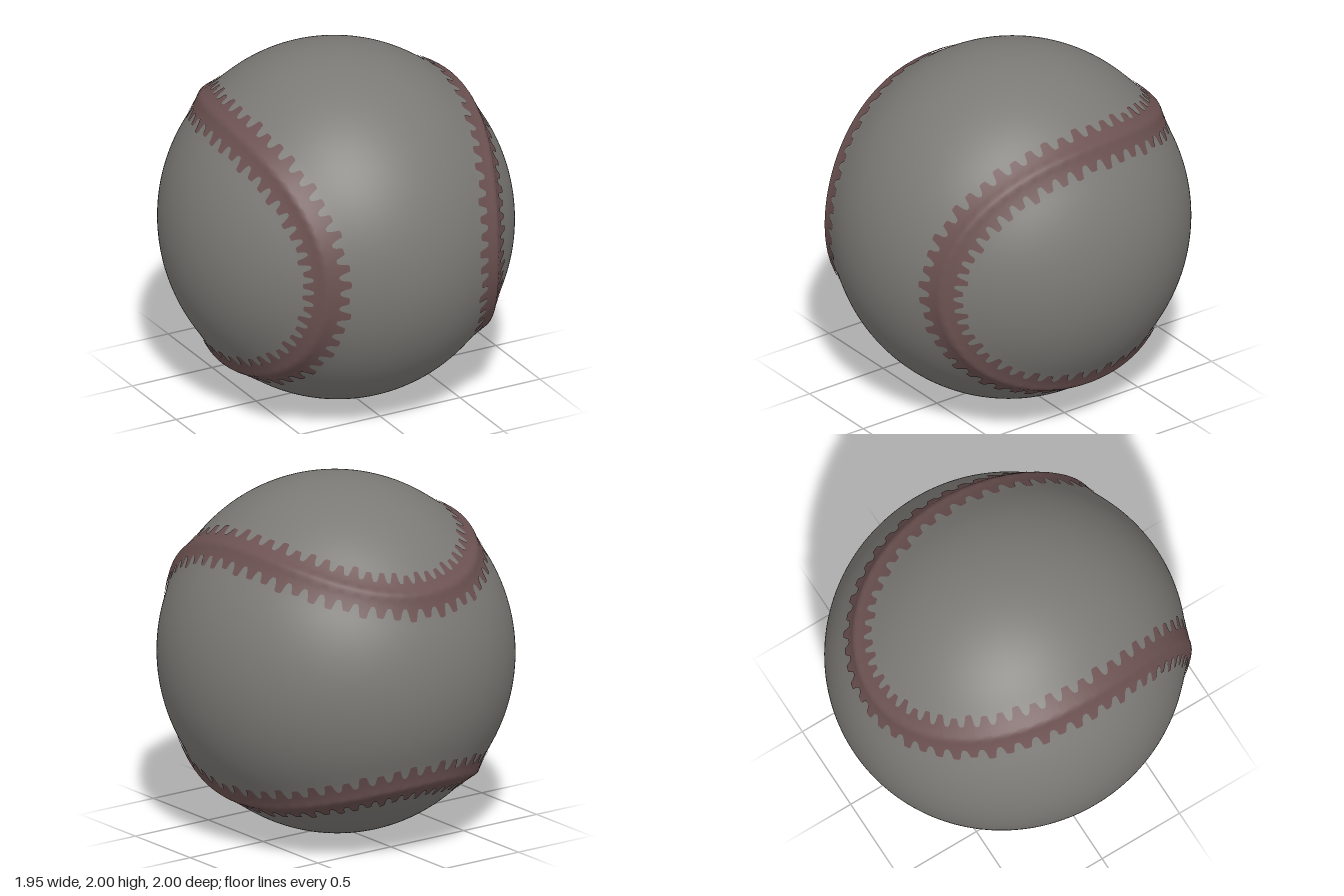
import * as THREE from 'three';
import { mergeVertices } from 'three/addons/utils/BufferGeometryUtils.js';

const STITCHES = 108, STEPS = STITCHES * 10, ACROSS = 14;
const SQUASH = new THREE.Vector3(0.975, 1, 1);

// Closed seam line winding over the unit sphere
function seamPoint(t) {
  const a = 0.76, b = -0.225, c = 0.85;
  return new THREE.Vector3(
    a * Math.cos(t) + b * Math.cos(3 * t),
    a * Math.sin(t) - b * Math.sin(3 * t),
    c * Math.cos(2 * t)
  ).normalize();
}

// Soft swelling of the cover at distance d from the seam line
const swelling = (d) => 0.016 * Math.exp(-((d / 0.085) ** 2));
// Narrow rib along the middle of the seam
const rib = (d) => 0.009 * Math.exp(-((d / 0.03) ** 2));

// Half width of the stitched band, with a rounded tooth for each stitch
function bandWidth(i, side) {
  const k = (i / STEPS) * STITCHES;
  const wave = 0.5 - 0.5 * Math.cos(2 * Math.PI * k);
  const tooth = THREE.MathUtils.smoothstep(wave, 0.12, 0.75);
  const uneven = 0.01 * Math.sin(Math.floor(k) * 2.4 + side * 1.3);
  return 0.073 + (0.062 + uneven) * tooth;
}

function coverGeometry(line) {
  const sphere = new THREE.SphereGeometry(1, 192, 128);
  sphere.deleteAttribute('uv');
  sphere.deleteAttribute('normal');
  const geo = mergeVertices(sphere, 1e-5);
  const pos = geo.attributes.position;
  const p = new THREE.Vector3();
  for (let i = 0; i < pos.count; i++) {
    p.fromBufferAttribute(pos, i).normalize();
    let nearest = 4;
    for (const q of line) nearest = Math.min(nearest, p.distanceToSquared(q));
    p.multiplyScalar(1 + swelling(Math.sqrt(nearest))).multiply(SQUASH);
    pos.setXYZ(i, p.x, p.y, p.z);
  }
  geo.computeVertexNormals();
  return geo;
}

function seamGeometry(line) {
  const positions = [], indices = [], row = ACROSS + 1;
  for (let i = 0; i < STEPS; i++) {
    const normal = line[i];
    const along = line[(i + 1) % STEPS].clone().sub(line[(i + STEPS - 1) % STEPS]).normalize();
    const side = normal.clone().cross(along).normalize();
    for (let j = 0; j <= ACROSS; j++) {
      const s = (j / ACROSS) * 2 - 1;
      const v = s * bandWidth(i, Math.sign(s));
      const p = normal.clone().addScaledVector(side, v).normalize();
      const d = Math.abs(v);
      p.multiplyScalar(1.004 + swelling(d) + rib(d)).multiply(SQUASH);
      positions.push(p.x, p.y, p.z);
      if (j < ACROSS) {
        const a = i * row + j, b = ((i + 1) % STEPS) * row + j;
        indices.push(a, b, a + 1, b, b + 1, a + 1);
      }
    }
  }
  const geo = new THREE.BufferGeometry();
  geo.setAttribute('position', new THREE.Float32BufferAttribute(positions, 3));
  geo.setIndex(indices);
  geo.computeVertexNormals();
  return geo;
}

export function createModel() {
  const leather = new THREE.MeshStandardMaterial({ color: 0x7c7a76 });
  leather.name = 'grey leather';
  const thread = new THREE.MeshStandardMaterial({ color: 0x6d5252 });
  thread.name = 'dull red thread';

  const line = Array.from({ length: STEPS }, (_, i) => seamPoint((i / STEPS) * Math.PI * 2));

  const ball = new THREE.Group();
  ball.name = 'ball';
  const cover = new THREE.Mesh(coverGeometry(line), leather);
  cover.name = 'cover';
  const seam = new THREE.Mesh(seamGeometry(line), thread);
  seam.name = 'stitchedSeam';
  ball.add(cover, seam);
  ball.position.y = 1;

  const model = new THREE.Group();
  model.name = 'stitchedBall';
  model.add(ball);
  return model;
}
